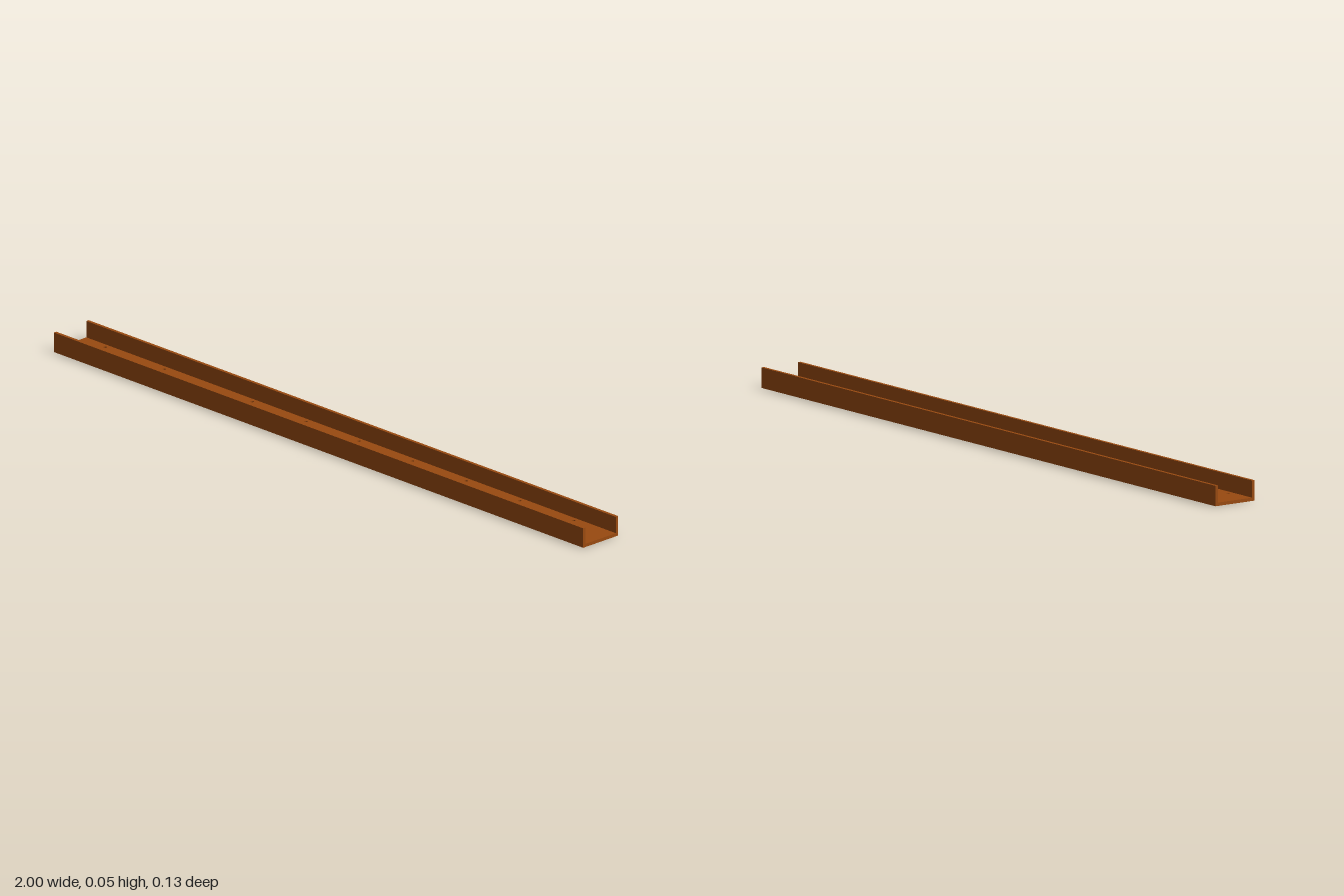
import * as THREE from 'three';

const LENGTH = 2, WIDTH = 0.129, HEIGHT = 0.055, WALL = 0.009;
const HOLE_X = [-0.914, -0.69, -0.358, -0.155, 0.045, 0.247, 0.45, 0.653, 0.856];
const HOLE_Z = 0.04, HOLE_RADIUS = 0.005;

export function createModel() {
  const group = new THREE.Group();
  group.name = 'channel';
  const material = new THREE.MeshStandardMaterial({ color: 0x994a10 });

  const add = (name, geometry, y, z) => {
    const mesh = new THREE.Mesh(geometry, material);
    mesh.name = name;
    mesh.position.set(0, y, z);
    group.add(mesh);
  };

  // Floor plate between the walls, drilled with two rows of holes
  const halfL = LENGTH / 2, halfW = WIDTH / 2 - WALL;
  const plate = new THREE.Shape();
  plate.moveTo(-halfL, -halfW).lineTo(halfL, -halfW).lineTo(halfL, halfW).lineTo(-halfL, halfW).closePath();
  for (const x of HOLE_X) {
    for (const side of [-1, 1]) {
      plate.holes.push(new THREE.Path().absarc(x, side * HOLE_Z, HOLE_RADIUS, 0, Math.PI * 2, true));
    }
  }
  const floor = new THREE.ExtrudeGeometry(plate, { depth: WALL, bevelEnabled: false, curveSegments: 16 });
  floor.rotateX(-Math.PI / 2);
  add('floor', floor, 0, 0);

  // Upright side walls
  for (const [name, side] of [['frontWall', 1], ['backWall', -1]]) {
    add(name, new THREE.BoxGeometry(LENGTH, HEIGHT, WALL), HEIGHT / 2, side * (WIDTH - WALL) / 2);
  }
  return group;
}
